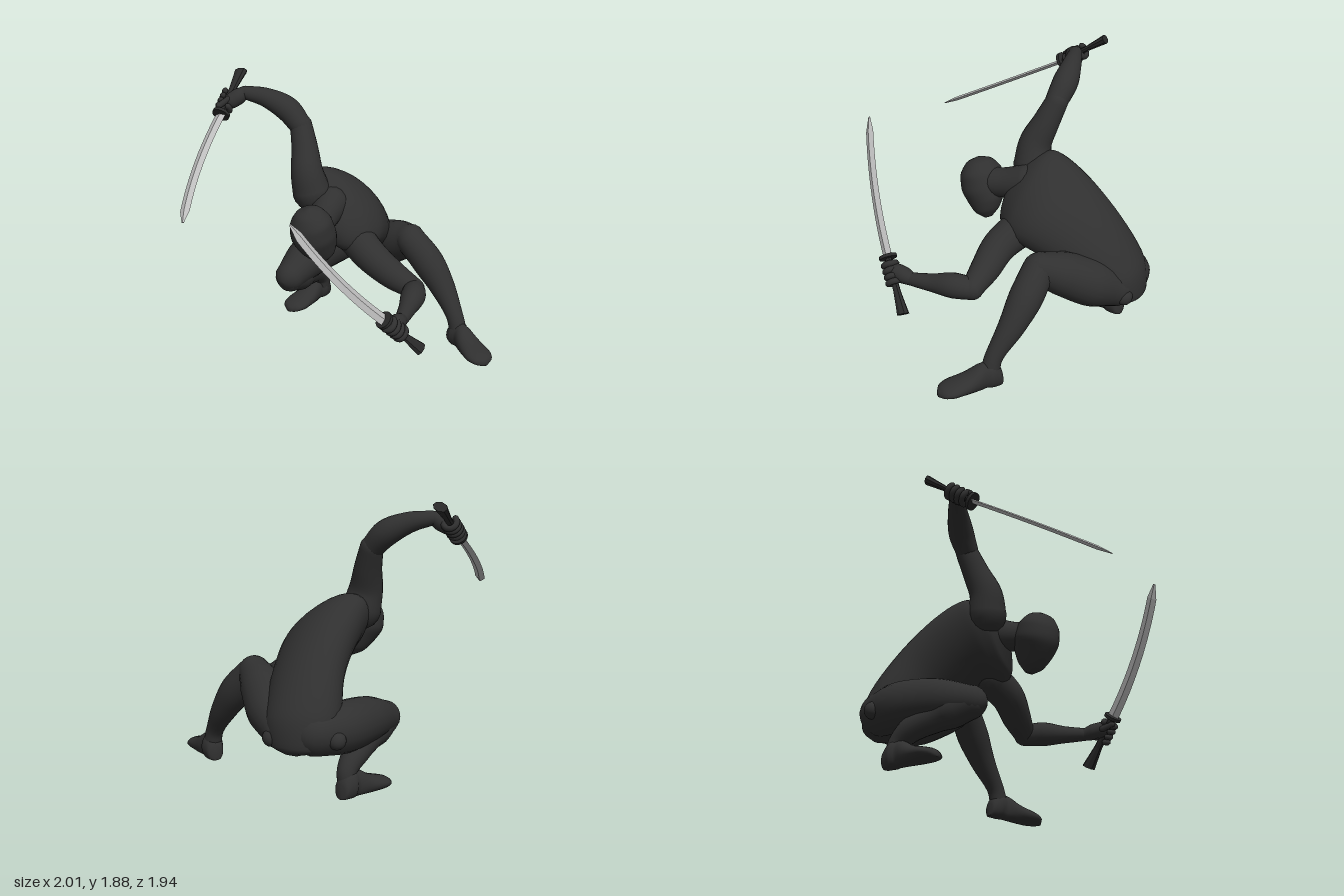
import * as THREE from 'three';

const V = (a) => new THREE.Vector3(a[0], a[1], a[2]);
const bodyMat = new THREE.MeshStandardMaterial({ color: 0x303030 });
bodyMat.name = 'charcoal body';
const gripMat = new THREE.MeshStandardMaterial({ color: 0x2a2a2a });
gripMat.name = 'black grip';
const steelMat = new THREE.MeshStandardMaterial({ color: 0xbdbdbd });
steelMat.name = 'blade steel';

// Closed skin over elliptical sections { c: centre, u, v: half axes }
function loft(secs, n, { flat = false, minY = -9 } = {}) {
  const pos = [], idx = [], last = secs.length - 1;
  for (const s of secs) for (let j = 0; j < n; j++) {
    const a = (j / n) * Math.PI * 2;
    const p = s.c.clone().addScaledVector(s.u, Math.cos(a)).addScaledVector(s.v, Math.sin(a));
    pos.push(p.x, Math.max(p.y, minY), p.z);
  }
  for (const s of [secs[0], secs[last]]) pos.push(s.c.x, Math.max(s.c.y, minY), s.c.z);
  const mid = secs[last >> 1];
  const dir = secs[last].c.clone().sub(secs[0].c);
  const flip = mid.u.clone().cross(mid.v).dot(dir) < 0;
  const tri = (a, b, c) => (flip ? idx.push(a, c, b) : idx.push(a, b, c));
  const end = secs.length * n;
  for (let j = 0; j < n; j++) {
    const k = (j + 1) % n;
    for (let i = 0; i < last; i++) {
      const a = i * n + j, b = i * n + k;
      tri(a, b, b + n);
      tri(a, b + n, a + n);
    }
    tri(end, k, j);
    tri(end + 1, last * n + j, last * n + k);
  }
  let g = new THREE.BufferGeometry();
  g.setAttribute('position', new THREE.Float32BufferAttribute(pos, 3));
  g.setIndex(idx);
  if (flat) g = g.toNonIndexed();
  g.computeVertexNormals();
  return g;
}

// Smooth interpolation between key sections [centre, u, v]
function blend(keys, steps) {
  const curves = [0, 1, 2].map((k) => new THREE.CatmullRomCurve3(keys.map((s) => V(s[k]))));
  return Array.from({ length: steps + 1 }, (_, i) => {
    const [c, u, v] = curves.map((q) => q.getPoint(i / steps));
    return { c, u, v };
  });
}

// Round limb through [x, y, z, radius] points with domed ends
function limb(pts, steps = 18, n = 20) {
  const path = new THREE.CatmullRomCurve3(pts.map(V));
  const radii = new THREE.CatmullRomCurve3(pts.map((p) => V([p[3], 0, 0])));
  const secs = [];
  const ref = V([0.31, 0.27, 0.91]).cross(V(pts[pts.length - 1]).sub(V(pts[0]))).normalize();
  const add = (t, shift, k) => {
    const d = path.getTangent(t), r = radii.getPoint(t).x;
    const u = ref.clone().addScaledVector(d, -ref.dot(d)).normalize();
    const v = d.clone().cross(u);
    secs.push({
      c: path.getPoint(t).addScaledVector(d, shift * r),
      u: u.multiplyScalar(r * k), v: v.multiplyScalar(r * k),
    });
  };
  const dome = [0.05, 0.3, 0.55, 0.8, 0.95];
  for (const k of dome) add(0, -Math.sqrt(1 - k * k), k);
  for (let i = 0; i <= steps; i++) add(i / steps, 0, 1);
  for (const k of dome.slice().reverse()) add(1, Math.sqrt(1 - k * k), k);
  return loft(secs, n);
}

export function createModel() {
  const root = new THREE.Group();
  root.name = 'crouchingSwordFighter';
  const add = (name, geo, mat = bodyMat, parent = root) => {
    const m = new THREE.Mesh(geo, mat);
    m.name = name;
    parent.add(m);
    return m;
  };

  // Twisted torso from pelvis to collar
  add('torso', loft(blend([
    [[0.89, 0.31, -0.48], [0.01, 0, 0.03], [0.03, 0.01, 0]],
    [[0.86, 0.35, -0.48], [0.06, 0, 0.16], [0.1, 0.02, -0.03]],
    [[0.77, 0.5, -0.44], [0.1, -0.02, 0.23], [0.16, 0.09, -0.06]],
    [[0.61, 0.74, -0.3], [0.09, -0.08, 0.25], [0.14, 0.15, -0.06]],
    [[0.39, 0.92, -0.17], [0.08, -0.11, 0.28], [0.1, 0.21, -0.05]],
    [[0.23, 0.97, -0.12], [0.07, -0.14, 0.26], [0.06, 0.23, -0.04]],
    [[0.11, 0.97, -0.1], [0.04, -0.1, 0.18], [0.02, 0.17, -0.03]],
    [[0.05, 0.97, -0.09], [0.01, -0.03, 0.06], [0.005, 0.05, -0.01]],
  ], 40), 32));
  add('neck', limb([[0.18, 1.03, -0.13, 0.13], [0.04, 1.0, -0.05, 0.105], [-0.08, 0.98, 0.01, 0.1]]));

  // Head bowed with the face towards -x
  add('head', loft(blend([
    [[-0.175, 1.137, 0.02], [0.015, 0.005, 0], [0, 0, 0.015]],
    [[-0.17, 1.11, 0.02], [0.085, 0.025, 0], [0, 0, 0.09]],
    [[-0.15, 1.03, 0.02], [0.135, 0.04, 0], [0, 0, 0.15]],
    [[-0.125, 0.94, 0.02], [0.15, 0.045, 0], [0, 0, 0.155]],
    [[-0.09, 0.86, 0.03], [0.135, 0.045, 0], [0, 0, 0.125]],
    [[-0.055, 0.78, 0.04], [0.085, 0.035, 0], [0, 0, 0.085]],
    [[-0.035, 0.735, 0.045], [0.025, 0.01, 0], [0, 0, 0.03]],
  ], 28), 28));
  add('nose', limb([[-0.235, 0.92, 0.03, 0.018], [-0.21, 0.85, 0.04, 0.025]], 6, 10));

  // Raised right arm
  add('rightUpperArm', limb([[0.1, 1.11, -0.24, 0.135], [0.085, 1.25, -0.27, 0.115],
    [0.12, 1.4, -0.33, 0.094], [0.15, 1.55, -0.4, 0.078]]));
  add('rightForearm', limb([[0.145, 1.55, -0.4, 0.078], [0.115, 1.65, -0.5, 0.088],
    [0.03, 1.725, -0.63, 0.068], [-0.06, 1.755, -0.74, 0.048]]));

  // Low left arm reaching forward
  add('leftUpperArm', limb([[0.29, 0.78, 0.01, 0.13], [0.28, 0.69, 0.19, 0.118],
    [0.33, 0.59, 0.35, 0.102], [0.385, 0.52, 0.5, 0.075]]));
  add('leftForearm', limb([[0.385, 0.515, 0.5, 0.075], [0.29, 0.525, 0.58, 0.086],
    [0.15, 0.51, 0.66, 0.062], [0.02, 0.5, 0.73, 0.046]]));

  // Left leg planted forward, right leg folded under
  add('leftThigh', limb([[0.86, 0.44, -0.34, 0.125], [0.8, 0.53, -0.16, 0.165],
    [0.73, 0.63, 0.03, 0.148], [0.69, 0.7, 0.17, 0.108]]));
  add('leftShin', limb([[0.685, 0.695, 0.18, 0.108], [0.725, 0.56, 0.31, 0.114],
    [0.745, 0.39, 0.45, 0.09], [0.735, 0.2, 0.59, 0.061], [0.735, 0.1, 0.62, 0.062]]));
  add('rightThigh', limb([[0.76, 0.45, -0.56, 0.15], [0.55, 0.45, -0.57, 0.17],
    [0.3, 0.44, -0.51, 0.155], [0.06, 0.4, -0.43, 0.11]]));
  add('rightShin', limb([[0.06, 0.38, -0.43, 0.1], [0.25, 0.33, -0.5, 0.1],
    [0.44, 0.26, -0.58, 0.088], [0.54, 0.17, -0.61, 0.066], [0.55, 0.09, -0.62, 0.062]]));
  for (const [name, p] of [['leftHipKnob', [0.945, 0.41, -0.35]], ['rightHipKnob', [0.7, 0.42, -0.7]]])
    add(name, new THREE.SphereGeometry(0.06, 20, 14)).position.set(...p);

  // Feet: rows of [way from heel to toe, half width, height]
  const foot = (name, heel, toe) => {
    const h = V(heel), t = V(toe), d = t.clone().sub(h);
    const side = d.clone().normalize().cross(V([0, 1, 0]));
    const rows = [[0, 0.015, 0.06], [0.03, 0.055, 0.12], [0.15, 0.07, 0.18], [0.32, 0.07, 0.175],
      [0.55, 0.088, 0.12], [0.78, 0.098, 0.085], [0.93, 0.075, 0.062], [1, 0.02, 0.035]];
    add(name, loft(blend(rows.map(([k, w, y]) => [
      h.clone().addScaledVector(d, k).setY(y * 0.44).toArray(),
      side.clone().multiplyScalar(w).toArray(), [0, y * 0.56, 0],
    ]), 24), 24, { minY: 0 }));
  };
  foot('leftFoot', [0.76, 0, 0.54], [0.635, 0, 0.97]);
  foot('rightFoot', [0.625, 0, -0.64], [0.18, 0, -0.59]);

  // Curved sword with disc guard, flared grip and the hand holding it
  const sword = (side, guard, tip, end, width, wrist) => {
    const grp = new THREE.Group();
    grp.name = side + 'Sword';
    root.add(grp);
    const g = V(guard), t = V(tip), e = V(end);
    const d = t.clone().sub(g).normalize();
    const w = V(width);
    w.addScaledVector(d, -w.dot(d)).normalize();
    const n = d.clone().cross(w);
    const blade = [];
    for (let i = 0; i <= 20; i++) {
      const k = i / 20, half = k > 0.9 ? 0.036 * (1.03 - k) / 0.13 : 0.042 - 0.0067 * k;
      blade.push({
        c: g.clone().lerp(t, k).addScaledVector(w, -0.16 * k * (1 - k)),
        u: w.clone().multiplyScalar(half), v: n.clone().multiplyScalar(0.014 * (k > 0.9 ? half / 0.036 : 1)),
      });
    }
    add(side + 'Blade', loft(blade, 4, { flat: true }), steelMat, grp);
    const grip = [[0, 0.028], [0.3, 0.028], [0.6, 0.03], [0.85, 0.042], [1, 0.05]].map(([k, r]) => ({
      c: g.clone().lerp(e, k), u: w.clone().multiplyScalar(r), v: n.clone().multiplyScalar(r * 0.65),
    }));
    add(side + 'Grip', loft(grip, 8, { flat: true }), gripMat, grp);
    const axis = e.clone().sub(g).normalize();
    const disc = add(side + 'Guard', new THREE.CylinderGeometry(0.062, 0.062, 0.022, 20), gripMat, grp);
    disc.position.copy(g);
    disc.quaternion.setFromUnitVectors(V([0, 1, 0]), axis);

    const hold = (k) => g.clone().addScaledVector(axis, k);
    const wr = V(wrist), c = hold(0.12);
    const back = wr.clone().sub(c);
    back.addScaledVector(axis, -back.dot(axis)).normalize();
    const cross = axis.clone().cross(back);
    const knuckle = c.clone().addScaledVector(back, 0.04);
    add(side + 'Palm', limb([[...wr.toArray(), 0.046], [...wr.clone().lerp(knuckle, 0.55).toArray(), 0.058],
      [...knuckle.toArray(), 0.056]], 10, 16));
    // Fingers curl around the grip
    for (let i = 0; i < 4; i++) {
      const pts = [];
      for (let a = -0.4; a < 4.3; a += 0.65) {
        pts.push([...hold(0.055 + i * 0.042).addScaledVector(back, Math.cos(a) * 0.045)
          .addScaledVector(cross, Math.sin(a) * 0.043).toArray(), 0.021]);
      }
      add(side + 'Finger' + (i + 1), limb(pts, 14, 8));
    }
    const thumb = [0.1, 0.07, 0.04].map((k, i) => [...hold(k)
      .addScaledVector(cross, -0.04).addScaledVector(back, 0.035 - i * 0.025).toArray(), 0.022]);
    add(side + 'Thumb', limb(thumb, 8, 8));
  };
  sword('right', [-0.25, 1.63, -0.79], [-1, 1.185, -0.28], [0.045, 1.85, -0.92],
    [0.43, 0.25, 0.87], [-0.07, 1.755, -0.75]);
  sword('left', [-0.2, 0.59, 0.78], [-0.78, 1.36, 0.52], [0.08, 0.3, 0.855],
    [0.85, 0.53, -0.33], [0.01, 0.5, 0.735]);
  return root;
}
